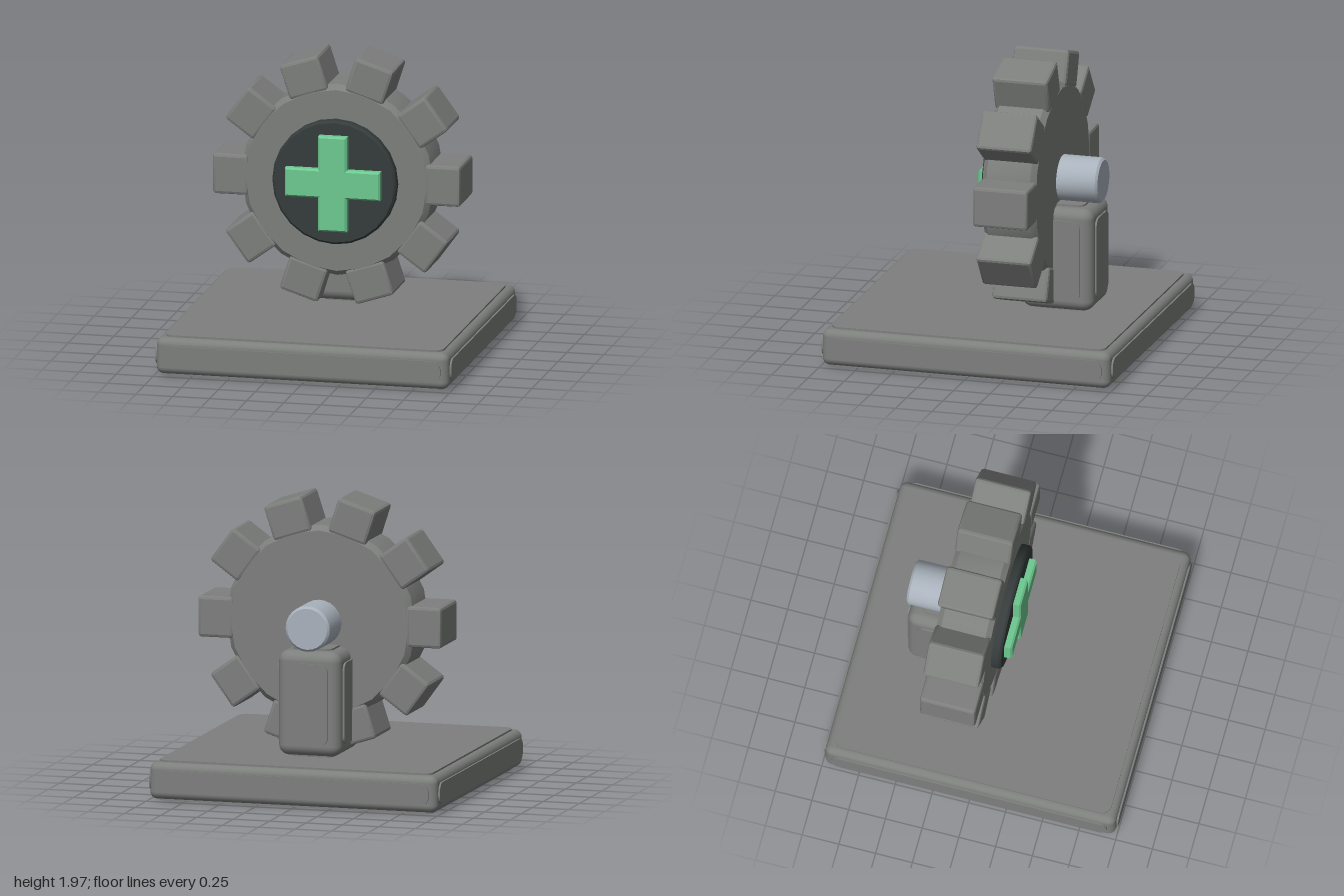
import * as THREE from 'three';
import { toCreasedNormals } from 'three/addons/utils/BufferGeometryUtils.js';
import { RoundedBoxGeometry } from 'three/addons/geometries/RoundedBoxGeometry.js';

const material = (name, color) => {
  const m = new THREE.MeshStandardMaterial({ color });
  m.name = name;
  return m;
};

function addMesh(parent, name, geometry, mat, x = 0, y = 0, z = 0) {
  const mesh = new THREE.Mesh(geometry, mat);
  mesh.name = name;
  mesh.position.set(x, y, z);
  parent.add(mesh);
  return mesh;
}

// Flat plate with rounded corners, rising from z = 0
function plateGeometry(w, h, r, depth) {
  const x = w / 2, y = h / 2, s = new THREE.Shape();
  s.moveTo(-x + r, -y);
  s.lineTo(x - r, -y).absarc(x - r, -y + r, r, -Math.PI / 2, 0);
  s.lineTo(x, y - r).absarc(x - r, y - r, r, 0, Math.PI / 2);
  s.lineTo(-x + r, y).absarc(-x + r, y - r, r, Math.PI / 2, Math.PI);
  s.lineTo(-x, -y + r).absarc(-x + r, -y + r, r, Math.PI, Math.PI * 1.5);
  return new THREE.ExtrudeGeometry(s, { depth, bevelEnabled: false, curveSegments: 4 });
}

// Rounded block with a slightly raised panel on each of its six faces
function panelBlock(name, [w, h, d], round, inset, corner, raise, mat) {
  const group = new THREE.Group();
  group.name = name;
  addMesh(group, name + 'Core', new RoundedBoxGeometry(w, h, d, 3, round), mat);
  const faces = [
    ['Front', w, h, d, 0, 0], ['Back', w, h, d, 0, Math.PI],
    ['Left', d, h, w, 0, Math.PI / 2], ['Right', d, h, w, 0, -Math.PI / 2],
    ['Top', w, d, h, -Math.PI / 2, 0], ['Bottom', w, d, h, Math.PI / 2, 0],
  ];
  for (const [side, pw, ph, depth, rx, ry] of faces) {
    const holder = new THREE.Group();
    holder.rotation.set(rx, ry, 0);
    holder.name = name + side;
    addMesh(holder, name + side + 'Panel',
      plateGeometry(pw - 2 * inset, ph - 2 * inset, corner, raise + 0.01), mat, 0, 0, depth / 2 - 0.01);
    group.add(holder);
  }
  return group;
}

// Chamfered disc with its axis along z, from z0 to z1
function discGeometry(r, z0, z1, chamfer, sides) {
  const pts = [[0, z0], [r - chamfer, z0], [r, z0 + chamfer], [r, z1 - chamfer], [r - chamfer, z1], [0, z1]]
    .map(([x, y]) => new THREE.Vector2(x, y));
  return toCreasedNormals(new THREE.LatheGeometry(pts, sides).rotateX(Math.PI / 2), 0.5);
}

export function createModel() {
  const grey = material('stone grey', 0x7d7f7d);
  const dark = material('dark slate', 0x353c3b);
  const green = material('mint green', 0x6dc890);
  const silver = material('pale steel', 0xa9b2bc);
  const model = new THREE.Group();
  model.name = 'gearOnStand';

  // Base slab and upright post
  const base = panelBlock('base', [1.976, 0.246, 1.976], 0.05, 0.05, 0.06, 0.012, grey);
  base.position.y = 0.135;
  const post = panelBlock('post', [0.43, 0.7, 0.49], 0.07, 0.078, 0.055, 0.012, grey);
  post.position.set(0, 0.635, -0.392);
  model.add(base, post);

  // Gear wheel with its ring of teeth
  const gear = new THREE.Group();
  gear.name = 'gear';
  gear.position.y = 1.14;
  model.add(gear);
  addMesh(gear, 'wheel', discGeometry(0.648, -0.375, -0.005, 0.035, 20), grey);
  const tooth = toCreasedNormals(new RoundedBoxGeometry(0.24, 0.272, 0.378, 1, 0.02), 0.3);
  for (let i = 0; i < 10; i++) {
    const a = i * Math.PI / 5;
    addMesh(gear, 'tooth' + (i + 1), tooth, grey, Math.cos(a) * 0.716, Math.sin(a) * 0.716, -0.191)
      .rotation.z = a;
  }

  // Hub disc, raised cross and rear axle
  addMesh(gear, 'hubDisc', discGeometry(0.42, -0.02, 0.06, 0.015, 24), dark);
  const a = 0.085, b = 0.31, cross = new THREE.Shape(
    [[a, a], [a, b], [-a, b], [-a, a], [-b, a], [-b, -a], [-a, -a], [-a, -b], [a, -b], [a, -a], [b, -a], [b, a]]
      .map(([x, y]) => new THREE.Vector2(x, y)));
  addMesh(gear, 'cross', new THREE.ExtrudeGeometry(cross,
    { depth: 0.05, bevelSize: 0.012, bevelThickness: 0.012, bevelSegments: 1 }), green, 0, 0, 0.05);
  addMesh(gear, 'axle', discGeometry(0.152, -0.655, -0.36, 0.015, 24), silver);

  return model;
}
